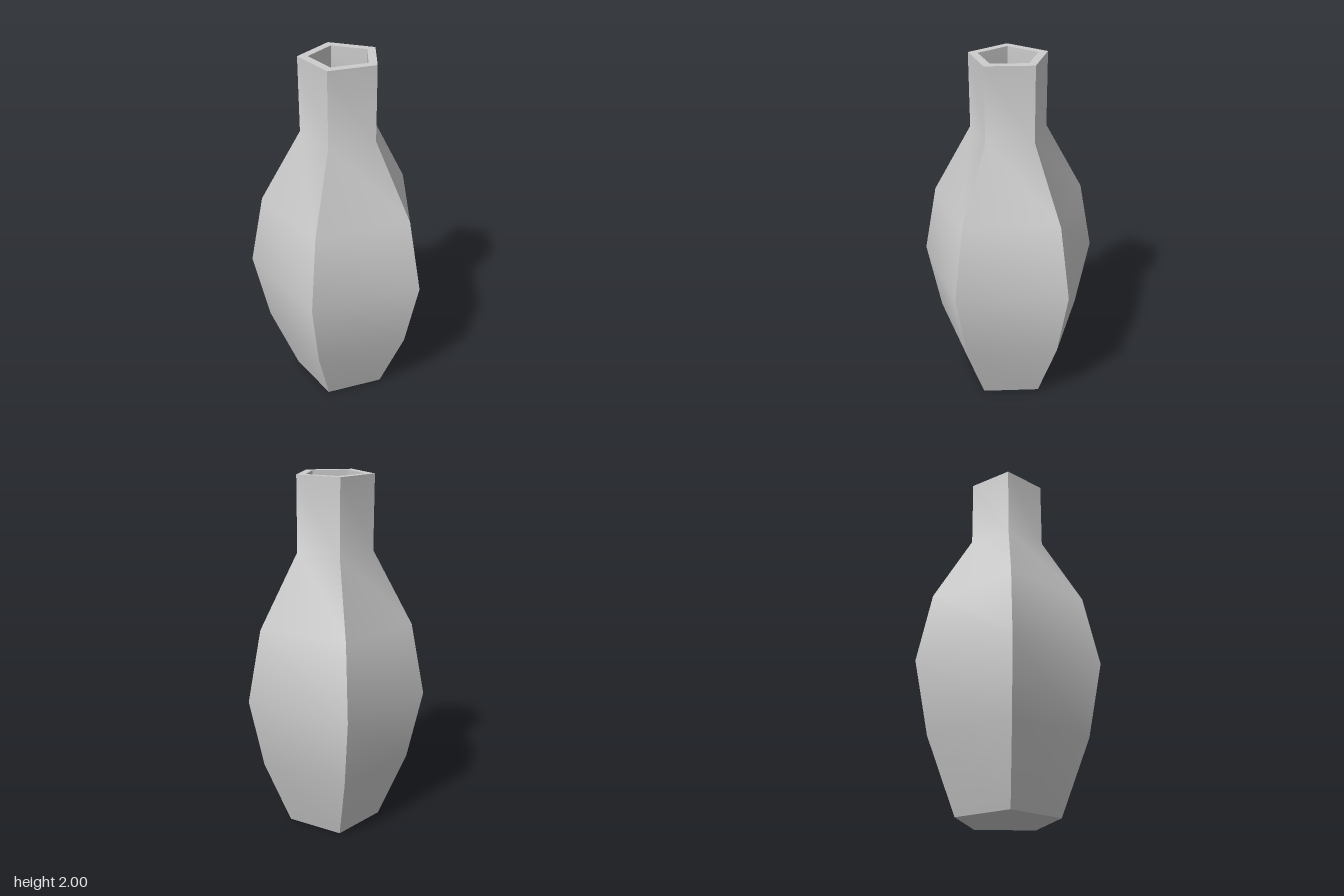
import * as THREE from 'three';
import { toCreasedNormals } from 'three/addons/utils/BufferGeometryUtils.js';

const SIDES = 5;
const WALL = 0.052;

export function createModel() {
  const group = new THREE.Group();
  group.name = 'vase';
  const clay = new THREE.MeshStandardMaterial({ color: 0xcccccc });
  clay.name = 'light grey clay';

  // Outer corner radius and height, from the foot to the rim
  const outer = [[0.277, 0], [0.434, 0.4], [0.514, 0.8], [0.434, 1.2], [0.214, 1.6], [0.214, 2]];

  // The hollow follows the outside at one wall thickness, down to a flat floor
  const inner = outer.map(([r, y]) => [r - WALL, Math.max(y, WALL)]).reverse();

  const profile = [[0, 0], ...outer, ...inner, [0, WALL]]
    .map(([r, y]) => new THREE.Vector2(r, y));

  // Five-sided turning with a corner towards +x: smooth up each side, sharp between sides
  const lathe = new THREE.LatheGeometry(profile, SIDES, Math.PI / 2, Math.PI * 2);
  const body = new THREE.Mesh(toCreasedNormals(lathe, Math.PI / 5), clay);
  body.name = 'vaseBody';
  body.position.x = -0.049;
  group.add(body);

  return group;
}
